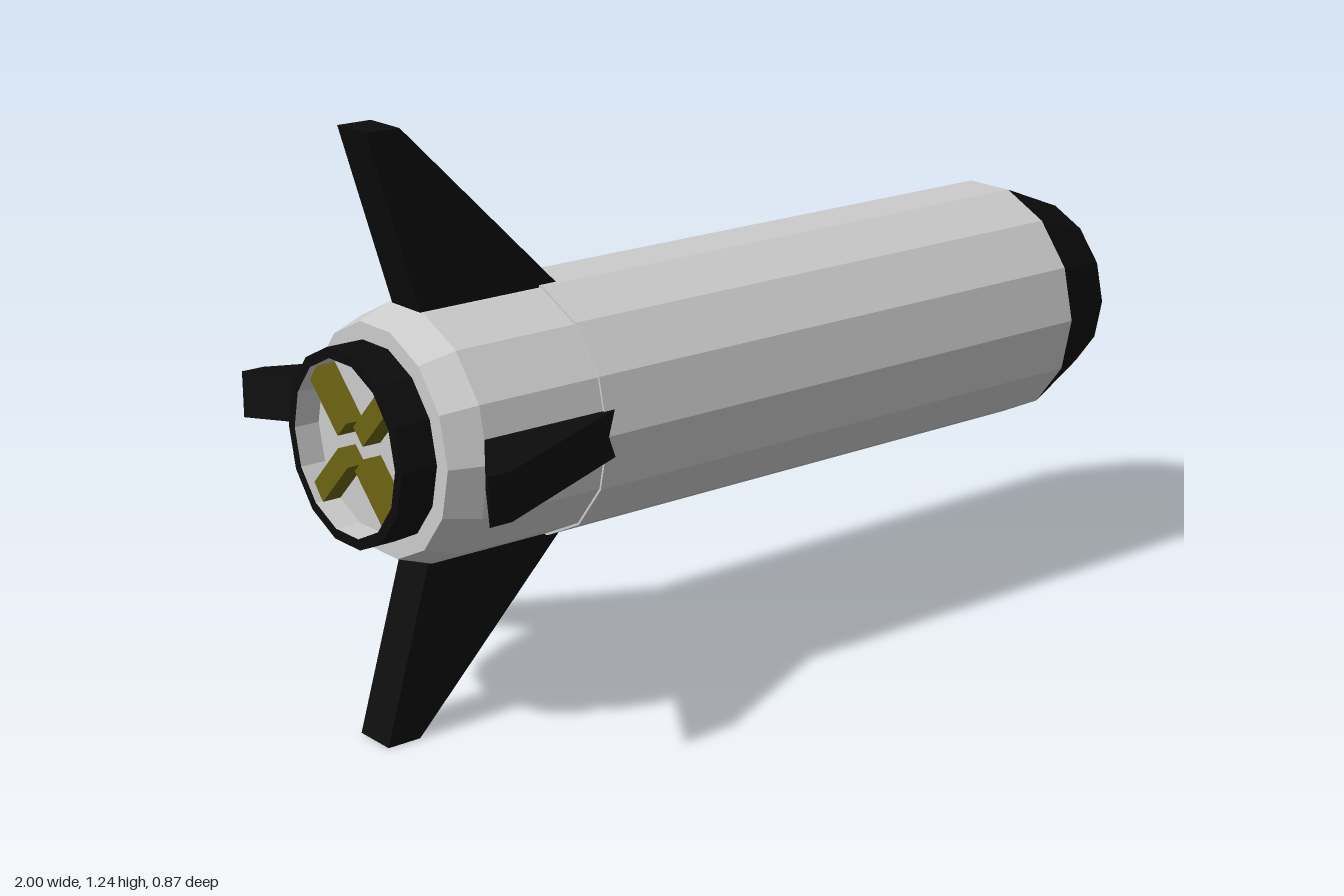
import * as THREE from 'three';

const AXIS_Y = 0.623;
const GREY = 0xcccccc, BLACK = 0x0c0c0c, OLIVE = 0x6b6412;

const paint = (color) => new THREE.MeshStandardMaterial({ color, flatShading: true });

// Faceted part turned round the long axis; points are [radius, x], tail to nose
function turned(name, points, color, sides = 14) {
  const geo = new THREE.LatheGeometry(points.map(([r, x]) => new THREE.Vector2(r, x)), sides);
  geo.rotateZ(-Math.PI / 2);
  const mesh = new THREE.Mesh(geo, paint(color));
  mesh.name = name;
  return mesh;
}

// Swept fin of even thickness; points are [x, distance from axis]
function fin(name, points, angle) {
  const shape = new THREE.Shape(points.map(([x, r]) => new THREE.Vector2(x, r)));
  const geo = new THREE.ExtrudeGeometry(shape, { depth: 0.098, bevelEnabled: false });
  geo.translate(0, 0, -0.049);
  const mesh = new THREE.Mesh(geo, paint(BLACK));
  mesh.name = name;
  mesh.rotation.x = angle;
  return mesh;
}

export function createModel() {
  const model = new THREE.Group();
  model.name = 'rocket';
  const rocket = new THREE.Group();
  rocket.name = 'fuselage';
  rocket.position.y = AXIS_Y;
  model.add(rocket);

  // Hull
  rocket.add(
    turned('mainBody', [[0.25, -0.565], [0.268, -0.565], [0.268, 0.73]], GREY),
    turned('tailSection', [[0.19, -0.92], [0.236, -0.92], [0.262, -0.845], [0.263, -0.565]], GREY),
    turned('noseCone', [[0.268, 0.73], [0.2, 0.9], [0.153, 0.92]], BLACK),
  );

  // Recessed nose tip with its probe
  rocket.add(
    turned('noseRing', [[0.153, 0.92], [0.107, 0.92], [0.104, 0.885]], GREY),
    turned('noseRecess', [[0.107, 0.885], [0, 0.885]], BLACK),
    turned('sensorCollar', [[0.075, 0.885], [0.075, 0.905], [0.045, 0.905], [0.045, 0.885]], BLACK, 10),
    turned('sensorHub', [[0.045, 0.885], [0.045, 0.91], [0.018, 0.915], [0, 0.915]], GREY, 7),
    turned('probe', [[0.006, 0.9], [0.006, 1], [0, 1]], GREY, 6),
  );

  // Engine nozzle: dark shell, light interior
  rocket.add(
    turned('nozzleShell', [[0.178, -1], [0.2, -1], [0.2, -0.915]], BLACK),
    turned('nozzleInterior', [[0, -0.945], [0.178, -0.945], [0.178, -1]], GREY),
  );

  // Four diagonal vanes in the nozzle
  for (let i = 0; i < 4; i++) {
    const pivot = new THREE.Group();
    pivot.name = 'exhaustVane';
    pivot.rotation.x = Math.PI / 4 + i * Math.PI / 2;
    const vane = new THREE.Mesh(new THREE.BoxGeometry(0.04, 0.135, 0.045), paint(OLIVE));
    vane.position.set(-0.965, 0.108, 0);
    pivot.add(vane);
    rocket.add(pivot);
  }

  // Tall vertical fins and short side fins
  const tall = [[-0.81, 0.15], [-0.42, 0.15], [-0.525, 0.262], [-0.88, 0.621], [-0.955, 0.621], [-0.845, 0.25]];
  const short = [[-0.79, 0.18], [-0.38, 0.18], [-0.525, 0.25], [-0.915, 0.434], [-0.965, 0.434], [-0.845, 0.25]];
  rocket.add(
    fin('topFin', tall, 0),
    fin('bottomFin', tall, Math.PI),
    fin('frontFin', short, Math.PI / 2),
    fin('backFin', short, -Math.PI / 2),
  );

  return model;
}
